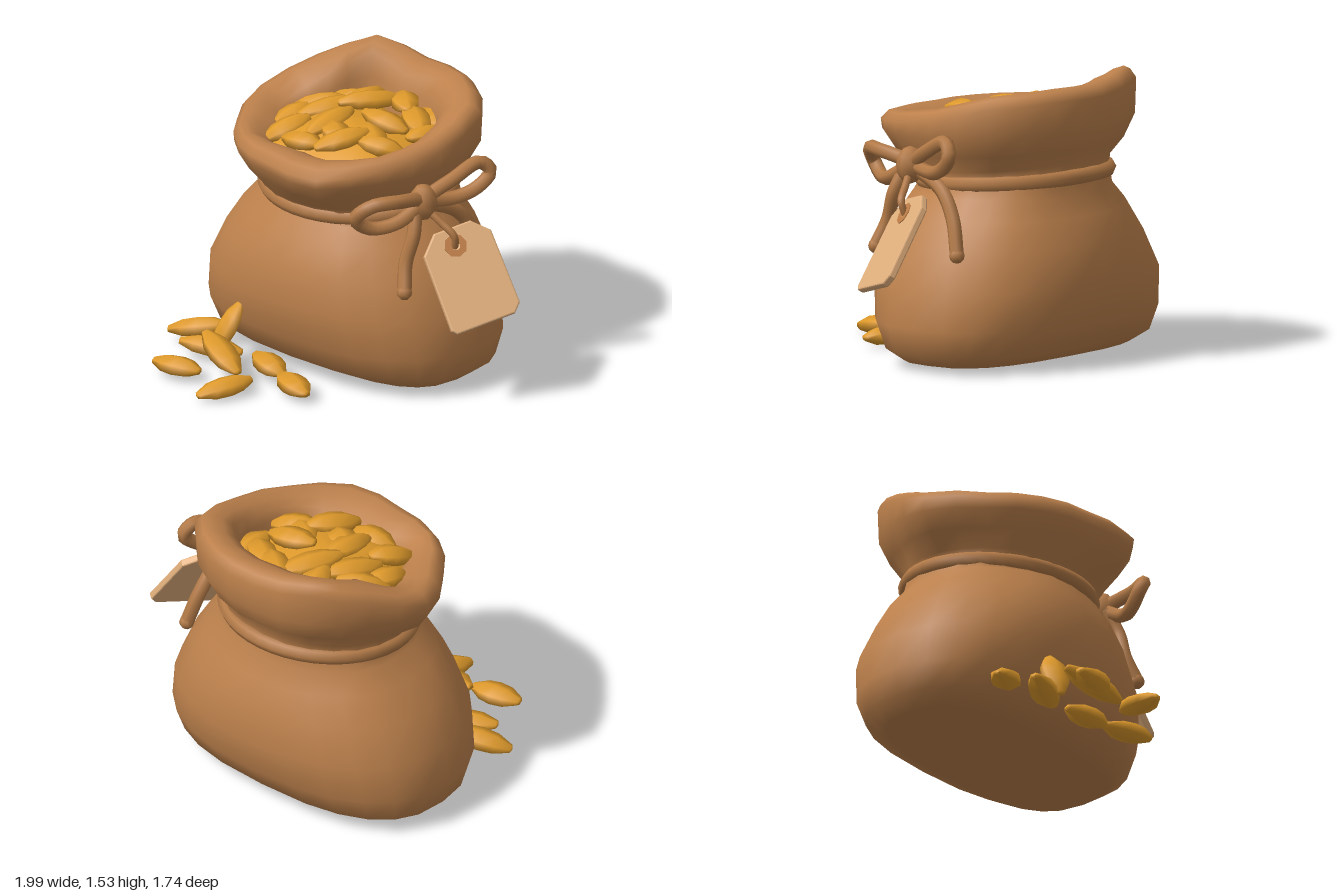
import * as THREE from 'three';

const mat = (name, color, side = THREE.FrontSide) => {
  const m = new THREE.MeshStandardMaterial({ color, side });
  m.name = name;
  return m;
};
const V = (x, y, z) => new THREE.Vector3(x, y, z);
const SEG = 24;

// Skin a list of closed rings (bottom to top) with shared vertices for smooth shading
function skin(rings) {
  const pos = [], idx = [];
  rings.forEach(r => r.forEach(p => pos.push(p.x, p.y, p.z)));
  for (let j = 0; j < rings.length - 1; j++) {
    for (let i = 0; i < SEG; i++) {
      const k = (i + 1) % SEG, a = j * SEG, b = a + SEG;
      idx.push(a + i, b + i, a + k, a + k, b + i, b + k);
    }
  }
  const g = new THREE.BufferGeometry();
  g.setAttribute('position', new THREE.Float32BufferAttribute(pos, 3));
  g.setIndex(idx);
  g.computeVertexNormals();
  return g;
}
const ring = f => Array.from({ length: SEG }, (_, i) => f(i / SEG * Math.PI * 2, i));

// Rim radii and heights every 30 degrees, from +x round towards +z
const OUTER = [0.67, 0.65, 0.69, 0.6, 0.6, 0.6, 0.67, 0.63, 0.66, 0.63, 0.68, 0.72];
const INNER = [0.46, 0.46, 0.37, 0.33, 0.42, 0.37, 0.42, 0.36, 0.46, 0.38, 0.44, 0.48];
const CREST = [1.37, 1.32, 1.29, 1.29, 1.29, 1.3, 1.33, 1.45, 1.54, 1.49, 1.49, 1.46];
const at = (arr, i) => (arr[i >> 1] + arr[((i + 1) >> 1) % 12]) / 2;

function sackGeometry() {
  const rings = [];
  // Body: y, centre x, centre z, radius x, radius z, roundness (1 is an ellipse, less is squarer)
  [
    [0.035, -0.14, -0.25, 0.001, 0.001, 1], [0.035, -0.14, -0.25, 0.73, 0.36, 0.7],
    [0.1, -0.14, -0.25, 0.82, 0.49, 0.78], [0.24, -0.14, -0.245, 0.86, 0.58, 0.86],
    [0.45, -0.14, -0.245, 0.83, 0.628, 0.9], [0.65, -0.13, -0.24, 0.74, 0.595, 0.95],
    [0.8, -0.12, -0.245, 0.64, 0.535, 0.95], [0.9, -0.11, -0.25, 0.555, 0.475, 0.95],
    [0.97, -0.12, -0.25, 0.52, 0.465, 0.95], [1.03, -0.12, -0.23, 0.525, 0.485, 0.95],
  ].forEach(([y, cx, cz, rx, rz, e]) => rings.push(ring(t => {
    const c = Math.cos(t), s = Math.sin(t);
    const pleat = y > 0.75 && y < 1 ? 1 + 0.012 * Math.cos(7 * t) : 1;
    return V(cx + rx * pleat * Math.sign(c) * Math.abs(c) ** e,
      y + (y > 0.9 ? -0.04 * s : 0),
      cz + rz * pleat * Math.sign(s) * Math.abs(s) ** e);
  })));
  // Folded collar: outer scale, blend to the inner radius, height from the crest
  [
    [0.9, 0, h => 1.09 + (h - 1.29) * 0.3], [0.99, 0, h => 1.18 + (h - 1.29) * 0.45],
    [1, 0, h => h - 0.06], [0.98, 0.1, h => h - 0.015], [1, 0.33, h => h],
    [1, 0.62, h => h - 0.02], [1, 0.85, h => h - 0.055], [1, 1, h => 1.215 + (h - 1.29) * 0.6],
    [1, 1.06, h => 1.17 + (h - 1.29) * 0.2], [1, 1.15, () => 1.12],
  ].forEach(([k, m, fy]) => rings.push(ring((t, i) => {
    const o = at(OUTER, i) * k, r = o + (at(INNER, i) - o) * m;
    return V(-0.15 + r * Math.cos(t), fy(at(CREST, i)), -0.2 + r * Math.sin(t));
  })));
  return skin(rings);
}

export function createModel() {
  const model = new THREE.Group();
  model.name = 'seedSack';
  const cloth = mat('sackCloth', 0xbd814c, THREE.DoubleSide);
  const cord = mat('cord', 0xb37a47);
  const gold = mat('seed', 0xdf9a2b);
  const paper = mat('tagPaper', 0xe0ae7c);
  const eyelet = mat('eyelet', 0xbd7c46);
  const add = (geo, m, name, parent = model) => {
    const o = new THREE.Mesh(geo, m);
    o.name = name;
    parent.add(o);
    return o;
  };

  add(sackGeometry(), cloth, 'sack');

  // Mound under the loose seeds
  add(skin([[1.17, 1.04], [1.25, 0.82], [1.3, 0.45], [1.32, 0.001]].map(([y, k]) =>
    ring((t, i) => V(-0.15 + at(INNER, i) * k * Math.cos(t), y, -0.2 + at(INNER, i) * k * Math.sin(t))))),
  gold, 'seedMound');

  // Seeds: flattened blunt spindles laid between two end points
  const spindle = new THREE.LatheGeometry(
    [[0.001, -1], [0.36, -0.95], [0.88, -0.45], [1, 0.05], [0.86, 0.5], [0.34, 0.95], [0.001, 1]]
      .map(p => new THREE.Vector2(...p)), 6);
  const seed = (a, b, name, parent) => {
    const d = b.clone().sub(a), len = d.length();
    d.normalize();
    const side = d.clone().cross(V(0, 1, 0)).normalize();
    const o = add(spindle, gold, name, parent);
    o.quaternion.setFromRotationMatrix(new THREE.Matrix4().makeBasis(side, d, side.clone().cross(d)));
    o.position.copy(a).add(b).multiplyScalar(0.5);
    o.scale.set(0.08, len / 2, 0.052);
  };

  const pile = new THREE.Group();
  pile.name = 'seedPile';
  model.add(pile);
  // ax, az, bx, bz, lift
  [
    [-0.26, -0.23, -0.1, -0.55, 0.03], [-0.09, -0.25, 0.2, -0.28, 0.02], [-0.41, -0.09, -0.27, -0.4, 0],
    [-0.06, 0.15, 0.07, -0.13, 0.02], [-0.2, 0.05, -0.19, -0.27, 0], [-0.42, 0.15, -0.33, -0.1, 0],
    [-0.56, -0.2, -0.34, -0.38, 0], [-0.02, -0.52, 0.24, -0.36, 0.01], [-0.3, -0.62, -0.25, -0.34, 0.01],
    [0.06, -0.05, 0.29, -0.16, 0], [0.02, -0.58, 0.25, -0.55, 0], [0.24, -0.55, 0.22, -0.26, 0],
    [-0.33, 0.1, -0.08, 0.08, -0.01], [-0.5, -0.02, -0.46, -0.26, -0.01], [-0.16, -0.6, 0.06, -0.44, 0.03],
    [-0.02, -0.2, 0.22, -0.06, -0.01], [-0.2, -0.1, -0.02, -0.02, -0.02], [-0.48, -0.4, -0.26, -0.5, -0.01],
  ].forEach(([ax, az, bx, bz, lift]) => {
    const y = (x, z) => 1.335 + lift - 0.42 * ((x + 0.13) ** 2 + (z + 0.3) ** 2);
    seed(V(ax, y(ax, az), az), V(bx, y(bx, bz), bz), 'pileSeed', pile);
  });

  const spill = new THREE.Group();
  spill.name = 'spilledSeeds';
  model.add(spill);
  [
    [-0.91, 0.07, 0.37, -0.61, 0.14, 0.23], [-0.73, 0.09, 0.47, -0.4, 0.07, 0.33],
    [-0.51, 0.21, 0.5, -0.17, 0.1, 0.6], [-0.67, 0.07, 0.72, -0.38, 0.07, 0.67],
    [-0.21, 0.04, 0.87, -0.11, 0.08, 0.56], [-0.06, 0.07, 0.4, 0.22, 0.06, 0.49],
    [-0.5, 0.07, 0.46, -0.42, 0.35, 0.32], [-0.3, 0.1, 0.34, -0.04, 0.07, 0.4],
  ].forEach(p => seed(V(...p.slice(0, 3)), V(...p.slice(3)), 'spilledSeed', spill));

  // Cord around the neck, with a bow on the left side
  const tube = (pts, r, closed, name, n = 20) => add(new THREE.TubeGeometry(
    new THREE.CatmullRomCurve3(pts.map(p => V(...p)), closed), n, r, 7, closed), cord, name);
  tube(ring(t => [-0.12 + 0.51 * Math.cos(t), 0.97 - 0.03 * Math.sin(t), -0.25 + 0.465 * Math.sin(t)]),
    0.044, true, 'neckCord', 40);

  tube([[0.52, 1.08, -0.05], [0.53, 1.13, 0.13], [0.46, 1.12, 0.25], [0.38, 1.04, 0.29],
    [0.41, 0.97, 0.21], [0.49, 0.99, 0.08]], 0.038, true, 'frontLoop', 28);
  tube([[0.52, 1.08, -0.1], [0.58, 1.17, -0.24], [0.62, 1.23, -0.39], [0.65, 1.17, -0.44],
    [0.62, 1.09, -0.37], [0.56, 1.05, -0.24]], 0.038, true, 'backLoop', 28);
  [
    ['frontTail', [[0.5, 1.05, -0.03], [0.54, 0.92, 0.02], [0.53, 0.77, 0.07], [0.57, 0.63, 0.12]]],
    ['backTail', [[0.5, 1.05, -0.1], [0.54, 0.96, -0.3], [0.57, 0.82, -0.4], [0.61, 0.64, -0.46]]],
  ].forEach(([name, pts]) => {
    tube(pts, 0.038, false, name);
    const end = add(new THREE.SphereGeometry(0.041, 8, 6), cord, name + 'End');
    end.position.set(...pts[3]);
  });
  const knot = add(new THREE.SphereGeometry(1, 8, 6), cord, 'knot');
  knot.scale.set(0.075, 0.1, 0.075);
  knot.position.set(0.52, 1.07, -0.07);
  // String from the knot to the tag hole
  tube([[0.54, 1.03, -0.08], [0.61, 0.97, -0.11], [0.68, 0.9, -0.14], [0.66, 0.82, -0.16]], 0.02, false, 'tagString');

  // Hanging tag, built flat and then tilted outwards
  const tag = new THREE.Group();
  tag.name = 'tag';
  model.add(tag);
  const s = new THREE.Shape();
  [[0.02, 0], [0.34, 0], [0.38, 0.04], [0.38, 0.44], [0.3, 0.52], [0.1, 0.52], [0.01, 0.43], [0, 0.02]]
    .forEach(([x, y], i) => (i ? s.lineTo(x, y) : s.moveTo(x, y)));
  s.closePath();
  const hole = new THREE.Path();
  hole.absarc(0.18, 0.43, 0.025, 0, Math.PI * 2, true);
  s.holes.push(hole);
  add(new THREE.ExtrudeGeometry(s, {
    depth: 0.024, bevelEnabled: true, bevelSize: 0.008, bevelThickness: 0.008, bevelSegments: 2, curveSegments: 8,
  }), paper, 'tagCard', tag);
  const disc = new THREE.Shape().absarc(0.18, 0.43, 0.062, 0, Math.PI * 2, false);
  disc.holes.push(hole);
  [0.028, -0.012].forEach(z => {
    const o = add(new THREE.ExtrudeGeometry(disc, { depth: 0.008, bevelEnabled: false, curveSegments: 4 }),
      eyelet, 'tagEyelet', tag);
    o.position.z = z;
  });
  const u = V(0.43, 0.24, -0.87).normalize();
  const w = V(-0.6, 0.8, 0).addScaledVector(u, -u.dot(V(-0.6, 0.8, 0))).normalize();
  tag.quaternion.setFromRotationMatrix(new THREE.Matrix4().makeBasis(u, w, u.clone().cross(w)));
  tag.position.set(0.82, 0.43, 0.01);

  return model;
}
